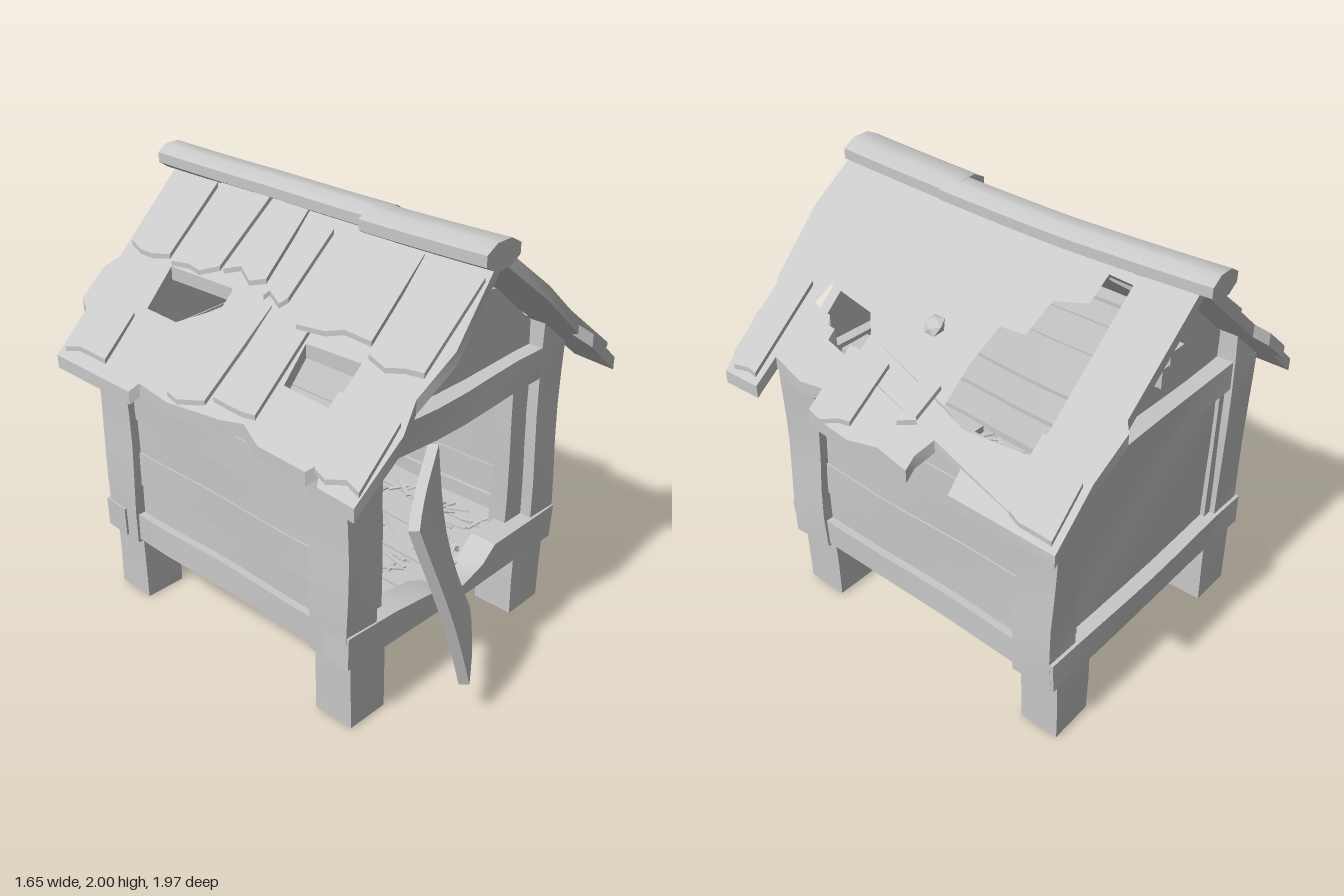
import * as THREE from 'three';
import { toCreasedNormals } from 'three/addons/utils/BufferGeometryUtils.js';

const wood = new THREE.MeshStandardMaterial({ color: 0xc8c8c8 });
wood.name = 'weathered grey';

// Underside heights of the two roof slopes
const slopeRight = x => 1.86 - 0.83 * x;
const slopeLeft = x => 1.94 + 0.95 * x;
const under = x => Math.min(slopeRight(x), slopeLeft(x));

function makeRandom(seed) {
  return () => (seed = (seed * 16807) % 2147483647) / 2147483647;
}

export function createModel() {
  const root = new THREE.Group();
  root.name = 'ruinedHutch';

  function add(name, geo, parent = root) {
    const mesh = new THREE.Mesh(toCreasedNormals(geo, 0.6), wood);
    mesh.name = name;
    parent.add(mesh);
    return mesh;
  }

  // Moves every vertex by a rule
  function bend(geo, rule) {
    const p = geo.attributes.position;
    const v = new THREE.Vector3();
    for (let i = 0; i < p.count; i++) {
      rule(v.fromBufferAttribute(p, i));
      p.setXYZ(i, v.x, v.y, v.z);
    }
    return geo;
  }

  // Hand-hewn timber: a slightly warped box trimmed under the roof
  function beam(name, x0, x1, y0, y1, z0, z1, warp = 0.008) {
    const seg = (a, b) => Math.max(1, Math.round((b - a) / 0.18));
    const geo = new THREE.BoxGeometry(x1 - x0, y1 - y0, z1 - z0, seg(x0, x1), seg(y0, y1), seg(z0, z1));
    geo.translate((x0 + x1) / 2, (y0 + y1) / 2, (z0 + z1) / 2);
    bend(geo, v => {
      const { x, y, z } = v;
      v.x += warp * Math.sin(7 * y + 5 * z + x * 3);
      v.y += warp * Math.sin(6 * x + 8 * z);
      v.z += warp * Math.sin(6 * y + 5 * x + 1);
      v.y = Math.min(v.y, under(v.x));
    });
    return add(name, geo);
  }

  function polygon(points) {
    return new THREE.Shape(points.map(([x, y]) => new THREE.Vector2(x, y)));
  }

  // Upright board cut from an outline in x and y
  function board(name, points, z, depth) {
    const geo = new THREE.ExtrudeGeometry(polygon(points), { depth, bevelEnabled: false });
    return add(name, geo.translate(0, 0, z));
  }

  // Sloped sheet cut from a plan outline in x and z
  function roofSheet(name, points, holes, slope, thick, lift = 0, tilt = 0) {
    const flip = list => list.map(([x, z]) => [x, -z]);
    const shape = polygon(flip(points));
    holes.forEach(h => shape.holes.push(polygon(flip(h))));
    const geo = new THREE.ExtrudeGeometry(shape, { depth: thick, bevelEnabled: false });
    const x0 = points[0][0];
    bend(geo, v => {
      const z = -v.y;
      v.set(v.x, slope(v.x) + v.z + lift + tilt * Math.abs(v.x - x0) + 0.008 * Math.sin(9 * z + 4 * v.x), z);
    });
    return add(name, geo);
  }

  // Legs and corner posts
  for (const [x0, x1, px0, px1] of [[-0.66, -0.46, -0.69, -0.52], [0.41, 0.62, 0.5, 0.66]]) {
    for (const [z0, z1] of [[0.48, 0.68], [-0.82, -0.63]]) {
      beam('leg', x0, x1, 0.005, 0.36, z0, z1, 0.004);
      beam('cornerPost', px0, px1, 0.33, 1.5, z0, z1 + 0.005);
    }
  }

  // Side walls of stacked planks with rails
  for (const s of [-1, 1]) {
    const [a, b] = s > 0 ? [0.56, 0.615] : [-0.645, -0.59];
    for (let i = 0; i < 5; i++) {
      const y = 0.46 + i * 0.165;
      const out = i % 2 ? 0.008 : 0;
      beam('sidePlank', a + s * out, b + s * out, y, y + 0.165, -0.66, 0.52, 0.004);
    }
    beam('sideBottomRail', s > 0 ? 0.54 : -0.68, s > 0 ? 0.65 : -0.57, 0.345, 0.48, -0.64, 0.5, 0.004);
    beam('sideTopRail', s > 0 ? 0.54 : -0.65, s > 0 ? 0.625 : -0.57, 1.22, 1.32, -0.66, 0.52, 0.004);
  }

  // Front frame, with a broken sill
  beam('doorHeader', -0.53, 0.51, 1.18, 1.32, 0.52, 0.685);
  beam('doorJamb', -0.53, -0.43, 0.4, 1.2, 0.54, 0.63, 0.005);
  beam('doorJamb', 0.39, 0.51, 0.4, 1.2, 0.54, 0.63, 0.005);
  board('frontSill', [[-0.7, 0.345], [0.05, 0.325], [0.65, 0.33], [0.665, 0.49], [0.23, 0.485], [0.15, 0.42],
    [0.02, 0.38], [-0.08, 0.4], [-0.2, 0.45], [-0.42, 0.48], [-0.695, 0.495]], 0.57, 0.13);

  // Back wall and frame
  beam('backWall', -0.54, 0.52, 0.42, 1.24, -0.77, -0.72, 0.006);
  beam('backTopRail', -0.53, 0.51, 1.18, 1.31, -0.81, -0.68);
  beam('backBottomRail', -0.7, 0.66, 0.335, 0.48, -0.835, -0.7, 0.006);
  for (const x of [-0.53, 0.46]) beam('backStile', x, x + 0.05, 0.46, 1.2, -0.79, -0.72, 0.003);

  // Gables, broken open beneath the ridge
  board('frontGable', [[-0.53, 1.3], [0.51, 1.3], [0.51, 1.43], [0.25, 1.655], [0.08, 1.67], [0.05, 1.83],
    [-0.1, 1.84], [-0.14, 1.67], [-0.22, 1.66], [-0.28, 1.67], [-0.53, 1.43]], 0.56, 0.05);
  board('backGable', [[-0.53, 1.29], [0.51, 1.29], [0.51, 1.43], [0.26, 1.64], [0.16, 1.6], [0.1, 1.47],
    [0.03, 1.44], [-0.03, 1.52], [-0.1, 1.45], [-0.15, 1.6], [-0.22, 1.66], [-0.29, 1.66], [-0.53, 1.43]], -0.73, 0.05);

  // Stepped brackets on both gables
  for (const [z, d] of [[0.6, 1], [-0.72, -1]]) {
    const span = (a, b) => [z + d * a, z + d * b].sort((p, q) => p - q);
    beam('bracketBack', -0.105, -0.005, 1.43, 1.64, ...span(0, 0.03), 0.002);
    beam('bracketTop', -0.1, -0.01, 1.56, 1.62, ...span(0.02, 0.1), 0.002);
    beam('bracketFoot', -0.1, -0.01, 1.44, 1.53, ...span(0.02, 0.07), 0.002);
  }
  board('hangingSplinter', [[-0.04, 1.87], [0.02, 1.83], [0.08, 1.68], [0.06, 1.64], [0.02, 1.67], [-0.03, 1.77]], 0.66, 0.03);

  // Floor boards and loft boards
  for (let i = 0; i < 6; i++) {
    const x = -0.6 + i * 0.197;
    beam('floorBoard', x, x + 0.185, 0.365 + 0.006 * (i % 2), 0.41, -0.74, 0.6, 0.004);
  }
  for (const [x0, x1, z0] of [[-0.58, -0.42, -0.7], [-0.41, -0.2, -0.7], [-0.19, 0.1, -0.7], [0.12, 0.28, -0.68], [0.3, 0.45, -0.7], [0.47, 0.57, -0.3]])
    beam('loftBoard', x0, x1, 1.27, 1.3, z0, 0.56, 0.004);

  // Straw scattered on the floor
  const rnd = makeRandom(71);
  const straw = new THREE.Group();
  straw.name = 'straw';
  root.add(straw);
  for (let i = 0; i < 110; i++) {
    const piece = add('strawPiece', new THREE.BoxGeometry(0.06 + 0.07 * rnd(), 0.008, 0.018), straw);
    piece.position.set(-0.5 + 0.95 * rnd(), 0.42 + 0.015 * rnd(), -0.65 + 1.2 * rnd());
    piece.rotation.set(rnd() * 0.6 - 0.3, rnd() * 3, rnd() * 0.5 - 0.25);
  }
  for (let i = 0; i < 6; i++) {
    const chip = add('sillChip', new THREE.TetrahedronGeometry(0.03));
    chip.position.set(0.04 + 0.024 * i, 0.43 + 0.02 * rnd(), 0.54);
    chip.rotation.set(i, 2 * i, 0);
  }

  // Splinters hanging below the floor
  const hook = new THREE.CatmullRomCurve3([[0, 0.38, -0.16], [-0.02, 0.28, -0.15], [0, 0.235, -0.09], [0.01, 0.22, -0.02]]
    .map(p => new THREE.Vector3(...p)));
  add('hangingHook', new THREE.TubeGeometry(hook, 8, 0.017, 5));
  const shard = add('floorShard', new THREE.ConeGeometry(0.035, 0.09, 4));
  shard.position.set(-0.1, 0.345, 0.04);
  shard.rotation.x = 2.4;

  // Right-hand slope in the plan's +x half
  roofSheet('roofSlopeLeft', [[-0.04, -0.92], [0.4, -0.92], [0.43, -0.95], [0.6, -0.93], [0.82, -0.94], [0.815, -0.43],
    [0.73, -0.42], [0.7, -0.26], [0.77, -0.22], [0.82, -0.22], [0.8, -0.05], [0.82, 0.1], [0.81, 0.33], [0.72, 0.32],
    [0.74, 0.45], [0.71, 0.63], [0.82, 0.64], [0.82, 0.84], [0.6, 0.86], [0.53, 0.8], [0.48, 0.86], [0.2, 0.89], [-0.04, 0.85]],
  [[[0.05, -0.67], [0.61, -0.67], [0.63, -0.35], [0.6, -0.22], [0.45, -0.22], [0.31, -0.25], [0.3, -0.37], [0.18, -0.4], [0.15, -0.55], [0.05, -0.56]],
    [[0.42, 0.58], [0.44, 0.33], [0.5, 0.27], [0.6, 0.28], [0.58, 0.45], [0.51, 0.5], [0.5, 0.6]]], slopeRight, 0.06);

  // Opposite slope
  roofSheet('roofSlopeRight', [[-0.04, -0.93], [-0.45, -0.92], [-0.5, -0.97], [-0.62, -0.98], [-0.65, -0.92], [-0.82, -0.92],
    [-0.815, -0.43], [-0.78, -0.4], [-0.8, -0.2], [-0.77, 0.08], [-0.75, 0.2], [-0.79, 0.32], [-0.8, 0.58], [-0.76, 0.62],
    [-0.82, 0.66], [-0.82, 0.84], [-0.6, 0.87], [-0.5, 0.84], [-0.35, 0.89], [-0.2, 0.87], [-0.04, 0.85]],
  [[[-0.56, -0.6], [-0.41, -0.61], [-0.41, -0.22], [-0.47, -0.2], [-0.57, -0.4]],
    [[-0.61, 0.28], [-0.48, 0.27], [-0.47, 0.55], [-0.62, 0.54]]], slopeLeft, 0.06);

  // Loose shingles: x at top edge, x at bottom edge, z range, slope
  const shingles = [
    [-0.12, -0.4, -0.9, -0.62, slopeLeft], [-0.1, -0.4, -0.6, -0.3, slopeLeft], [-0.1, -0.38, -0.28, -0.08, slopeLeft],
    [-0.15, -0.4, -0.06, 0.1, slopeLeft], [-0.13, -0.44, 0.22, 0.55, slopeLeft], [-0.15, -0.47, 0.57, 0.85, slopeLeft],
    [-0.42, -0.78, -0.2, 0.02, slopeLeft], [-0.43, -0.74, 0.04, 0.26, slopeLeft], [-0.6, -0.8, -0.88, -0.64, slopeLeft],
    [-0.58, -0.79, 0.62, 0.84, slopeLeft], [0.57, 0.81, 0.1, 0.32, slopeRight], [0.56, 0.7, -0.17, -0.07, slopeRight],
    [0.45, 0.8, 0.66, 0.83, slopeRight], [0.62, 0.81, -0.9, -0.7, slopeRight]];
  for (const [a, b, z0, z1, slope] of shingles) {
    const j = () => (rnd() - 0.5) * 0.05;
    const zm = (z0 + z1) / 2;
    roofSheet('looseShingle', [[a, z0], [b + j(), z0 + j()], [b + j(), zm - 0.04], [b + j(), zm + 0.04], [b + j(), z1 + j()], [a, z1]],
      [], slope, 0.022, 0.057, 0.07);
  }
  const chip = add('roofChip', new THREE.IcosahedronGeometry(0.05, 0));
  chip.scale.y = 0.5;
  chip.position.set(0.4, slopeRight(0.4) + 0.07, 0.01);
  chip.rotation.z = -0.69;

  // Ridge log in two lapped lengths
  for (const [x, z0, z1, rx, ry] of [[-0.035, -0.98, 0.3, 0.088, 0.058], [-0.06, 0.24, 0.86, 0.108, 0.06]]) {
    const geo = new THREE.CylinderGeometry(1, 1, z1 - z0, 8, 8).rotateY(Math.PI / 8).rotateX(Math.PI / 2);
    geo.translate(0, 0, (z0 + z1) / 2);
    bend(geo, v => {
      const sag = 0.018 * (1 - v.z * v.z);
      v.set(x + v.x * rx - 0.05 * Math.max(0, -v.z - 0.3), 1.95 + v.y * ry - sag, v.z);
    });
    add('ridgeLog', geo);
  }

  // Door hanging askew, blended between its four corners
  const corner = (x, y, z) => new THREE.Vector3(x, y, z);
  const tl = corner(-0.55, 1.02, 0.9), tr = corner(-0.21, 1.16, 0.68);
  const bl = corner(-0.3, 0.19, 0.97), br = corner(0.035, 0.25, 0.7);
  const normal = corner(0.46, 0.2, 0.86).normalize();
  add('door', bend(new THREE.BoxGeometry(1, 1, 0.045, 6, 8, 1), v => {
    const s = v.x + 0.5, t = v.y + 0.5, d = v.z + 0.012 * Math.sin(4 * t + 3 * s);
    const top = tl.clone().lerp(tr, s);
    v.copy(bl.clone().lerp(br, s).lerp(top, t)).addScaledVector(normal, d);
    v.y += 0.015 * Math.sin(9 * s) * (1 - t);
    v.x -= 0.03 * s * Math.sin(Math.PI * t);
  }));

  return root;
}
